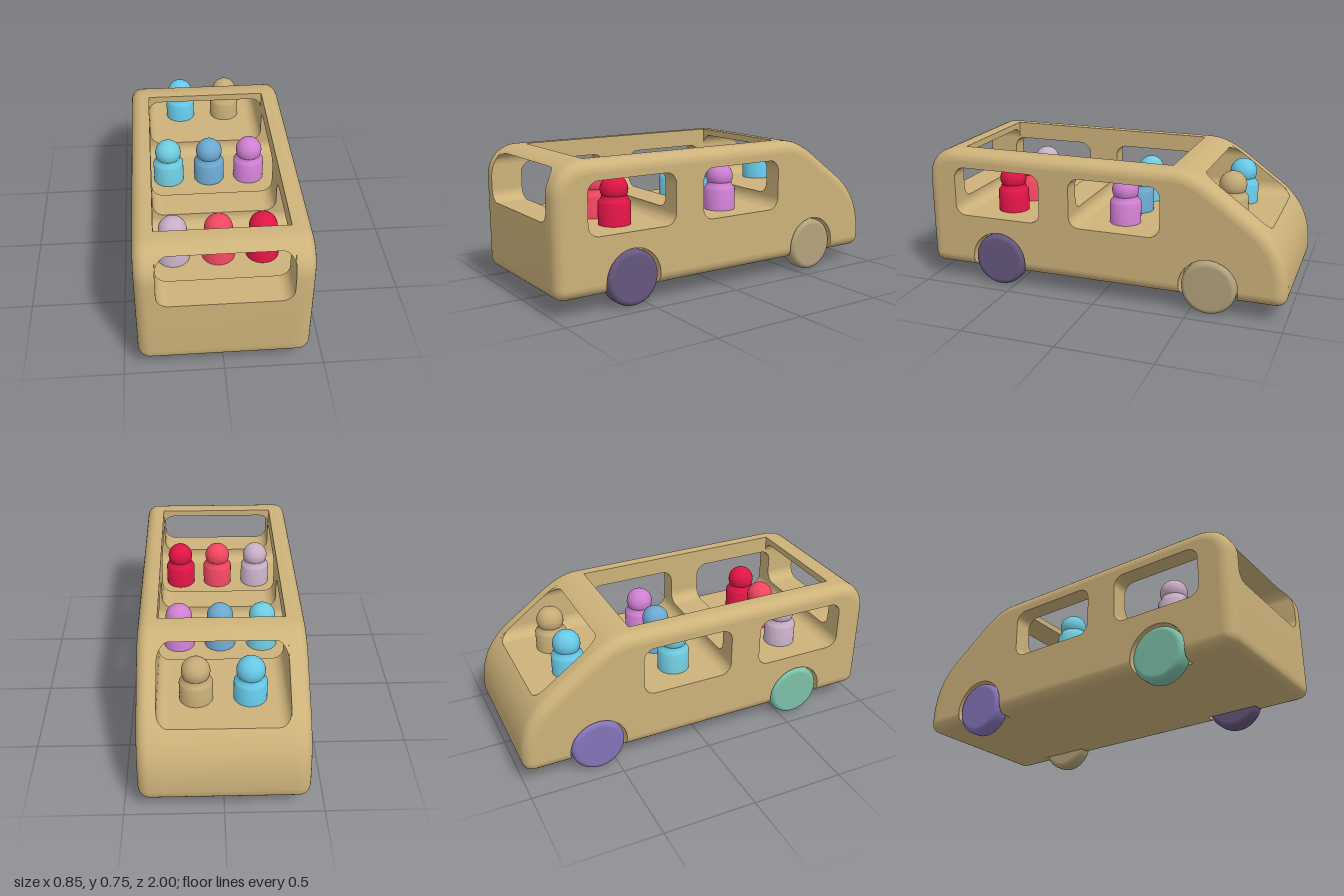
import * as THREE from 'three';
import { toCreasedNormals } from 'three/addons/utils/BufferGeometryUtils.js';

const BOTTOM = 0.085, HALF = 0.425, INNER = 0.325, ROUND = 0.06;
const SILL = 0.457, HEAD = 0.715;            // lengthwise opening, bottom and top
const PIT = 0.385, WINDOW_TOP = 0.655;       // side windows and seat wells
const WINDOWS = [[-0.34, 0.16], [0.33, 0.83]];
const AXLES = [0.58, -0.6], ARCH = 0.156;
const WOOD = 0xcdb27a;

const V2 = (x, y) => new THREE.Vector2(x, y);
const material = color => new THREE.MeshStandardMaterial({ color, side: THREE.DoubleSide });

function add(parent, name, geometry, mat) {
  const mesh = new THREE.Mesh(geometry, mat);
  mesh.name = name;
  parent.add(mesh);
  return mesh;
}

// Side outline from the front bumper over the roof to the rear (u = z, v = y)
function outline() {
  const p = new THREE.Path();
  p.moveTo(-0.935, BOTTOM);
  p.quadraticCurveTo(-1, BOTTOM, -1, 0.15);
  p.bezierCurveTo(-1, 0.31, -0.95, 0.42, -0.825, 0.515);
  p.lineTo(-0.66, 0.635);
  p.bezierCurveTo(-0.56, 0.71, -0.49, 0.75, -0.4, 0.75);
  p.lineTo(0.83, 0.75);
  p.bezierCurveTo(0.93, 0.75, 1, 0.68, 1, 0.58);
  p.lineTo(1, 0.15);
  p.quadraticCurveTo(1, BOTTOM, 0.935, BOTTOM);
  return p.getPoints(12);
}
const UPPER = outline();

// Position along the body where the outline crosses a height
function edge(y, rear) {
  let hit = 0;
  for (let i = 1; i < UPPER.length; i++) {
    const a = UPPER[i - 1], b = UPPER[i];
    if (a.y === b.y || (a.y - y) * (b.y - y) > 0) continue;
    hit = a.x + (b.x - a.x) * (y - a.y) / (b.y - a.y);
    if (!rear) return hit;
  }
  return hit;
}
const frontEdge = y => edge(y, false), rearEdge = y => edge(y, true);

// Wall contour inset by d, with wheel arches that keep their radius
function contour(d) {
  const last = UPPER.length - 1, y0 = BOTTOM + d;
  const pts = UPPER.map((p, i) => {
    const t = V2(0, 0);
    if (i > 0) t.add(p.clone().sub(UPPER[i - 1]).normalize());
    if (i < last) t.add(UPPER[i + 1].clone().sub(p).normalize());
    t.normalize();
    return V2(p.x + t.y * d, i === 0 || i === last ? y0 : p.y - t.x * d);
  });
  for (const c of AXLES) {
    const a0 = Math.asin((y0 - 0.145) / ARCH);
    for (let i = 0; i <= 20; i++) {
      const a = a0 + (Math.PI - 2 * a0) * i / 20;
      pts.push(V2(c + ARCH * Math.cos(a), 0.145 + ARCH * Math.sin(a)));
    }
  }
  return pts;
}

function windowPoints([a, b]) {
  const r = 0.06, s = new THREE.Path();
  s.moveTo(a + r, PIT);
  s.lineTo(b - r, PIT);
  s.absarc(b - r, PIT + r, r, -Math.PI / 2, 0);
  s.absarc(b - r, WINDOW_TOP - r, r, 0, Math.PI / 2);
  s.absarc(a + r, WINDOW_TOP - r, r, Math.PI / 2, Math.PI);
  s.absarc(a + r, PIT + r, r, Math.PI, Math.PI * 1.5);
  return s.getPoints(8);
}

// Skin between closed rings given as { pts, w }
function loft(rings) {
  const n = rings[0].pts.length, pos = [], idx = [];
  rings.forEach(({ pts, w }) => pts.forEach(p => pos.push(p.x, p.y, w)));
  for (let k = 0; k < rings.length - 1; k++)
    for (let i = 0; i < n; i++) {
      const j = (i + 1) % n, a = k * n;
      idx.push(a + i, a + j, a + n + i, a + j, a + n + j, a + n + i);
    }
  const g = new THREE.BufferGeometry();
  g.setAttribute('position', new THREE.Float32BufferAttribute(pos, 3));
  g.setIndex(idx);
  return toCreasedNormals(g, 0.6);
}

function panel(pts, w) {
  const s = new THREE.Shape(pts);
  s.holes = WINDOWS.map(h => new THREE.Path(windowPoints(h)));
  return new THREE.ShapeGeometry(s).translate(0, 0, w);
}

function sideWall(side, mat) {
  const wall = new THREE.Group();
  wall.name = side < 0 ? 'leftWall' : 'rightWall';
  const rings = [{ pts: contour(0), w: side * INNER }];
  for (let i = 0; i <= 7; i++) {
    const a = i / 7 * Math.PI / 2;
    rings.push({ pts: contour(ROUND * (1 - Math.cos(a))), w: side * (HALF - ROUND + ROUND * Math.sin(a)) });
  }
  add(wall, 'roundedRim', loft(rings), mat);
  add(wall, 'outerPanel', panel(contour(ROUND), side * HALF), mat);
  add(wall, 'innerPanel', panel(contour(0), side * INNER), mat);
  for (const h of WINDOWS) {
    const pts = windowPoints(h);
    add(wall, 'windowReveal', loft([{ pts, w: side * INNER }, { pts, w: side * HALF }]), mat);
  }
  return wall;
}

// Block spanning the space between the walls
function across(pts) {
  const g = new THREE.ExtrudeGeometry(new THREE.Shape(pts), { depth: 2 * INNER, bevelEnabled: false });
  return toCreasedNormals(g.translate(0, 0, -INNER), 0.6);
}

function floorPoints() {
  const low = UPPER.filter(p => p.y < SILL);
  const s = new THREE.Path([...low.filter(p => p.x < 0), V2(frontEdge(SILL), SILL)]);
  s.currentPoint.set(frontEdge(SILL), SILL);
  for (const [a, b] of WINDOWS) {
    s.lineTo(a, SILL);
    s.lineTo(a, PIT + 0.06);
    s.absarc(a + 0.06, PIT + 0.06, 0.06, Math.PI, Math.PI * 1.5);
    s.lineTo(b - 0.06, PIT);
    s.absarc(b - 0.06, PIT + 0.06, 0.06, -Math.PI / 2, 0);
    s.lineTo(b, SILL);
  }
  s.lineTo(1, SILL);
  return [...s.getPoints(8), ...low.filter(p => p.x > 0)];
}

// Concave corner strip of the lengthwise opening, from z0(y) to z1(y)
function cornerStrip(side, y, up, z0, z1) {
  const r = 0.06, x = side * INNER;
  const s = new THREE.Shape();
  s.moveTo(x, y);
  s.lineTo(x - side * r, y);
  s.bezierCurveTo(x - side * r * 0.45, y, x, y + up * r * 0.45, x, y + up * r);
  s.closePath();
  const g = new THREE.ExtrudeGeometry(s, { depth: 1, bevelEnabled: false, curveSegments: 8 });
  const p = g.attributes.position;
  for (let i = 0; i < p.count; i++) p.setZ(i, p.getZ(i) < 0.5 ? z0(p.getY(i)) : z1(p.getY(i)));
  g.computeVertexNormals();
  return toCreasedNormals(g, 0.6);
}

function pegFigure(color, x, z, lift) {
  const mat = material(color), peg = new THREE.Group();
  peg.name = 'pegFigure';
  const profile = [[0, 0.3], [0.084, 0.3], [0.084, 0.498], [0.08, 0.506], [0.073, 0.514], [0.067, 0.525], [0.064, 0.54], [0.06, 0.57]];
  add(peg, 'pegBody', toCreasedNormals(new THREE.LatheGeometry(profile.map(p => V2(...p)), 40), 0.7), mat);
  add(peg, 'pegHead', new THREE.SphereGeometry(0.072, 36, 24), mat).position.y = 0.565;
  peg.position.set(x, lift, z);
  return peg;
}

function wheel(color, side, z) {
  const r = 0.145, h = 0.05, b = 0.028, pts = [V2(0, -h)];
  for (const s of [-1, 1])
    for (let i = 0; i <= 6; i++) {
      const a = s < 0 ? -Math.PI / 2 + i / 6 * Math.PI / 2 : i / 6 * Math.PI / 2;
      pts.push(V2(r - b + b * Math.cos(a), s * (h - b) + b * Math.sin(a)));
    }
  pts.push(V2(0, h));
  const g = new THREE.LatheGeometry(pts, 56).rotateZ(Math.PI / 2);
  const m = new THREE.Mesh(g, material(color));
  m.name = 'wheel';
  m.position.set(side * 0.377, r, z);
  return m;
}

export function createModel() {
  const model = new THREE.Group(), wood = material(WOOD);
  model.name = 'toyVan';

  // Body, drawn in side profile and turned to face along z
  const body = new THREE.Group();
  body.name = 'body';
  body.rotation.y = -Math.PI / 2;
  for (const side of [-1, 1]) body.add(sideWall(side, wood));
  add(body, 'floorBlock', across(floorPoints()), wood);
  const high = UPPER.filter(p => p.y > HEAD);
  add(body, 'frontRoofBeam', across([V2(frontEdge(HEAD), HEAD), ...high.filter(p => p.x < -0.38), V2(-0.38, 0.75), V2(-0.38, HEAD)]), wood);
  add(body, 'rearRoofBeam', across([V2(0.8, HEAD), V2(0.8, 0.75), ...high.filter(p => p.x > 0.8), V2(rearEdge(HEAD), HEAD)]), wood);
  model.add(body);

  // Rounded inside corners
  const at = z => () => z;
  for (const side of [-1, 1]) {
    for (const [z0, z1] of [[frontEdge, at(-0.34)], [at(0.16), at(0.33)], [at(0.83), rearEdge]])
      add(model, 'sillCorner', cornerStrip(side, SILL, 1, z0, z1), wood);
    for (const [z0, z1] of [[frontEdge, at(-0.38)], [at(0.8), rearEdge]])
      add(model, 'roofCorner', cornerStrip(side, HEAD, -1, z0, z1), wood);
  }

  // Passengers: colour, x, z, height above the seat wells
  const pegs = [
    [0xc8afc6, -0.23, 0.575, 0], [0xf04660, 0, 0.575, 0], [0xe01545, 0.225, 0.575, 0],
    [0x6fcbdf, -0.23, -0.09, 0], [0x6ba8cf, 0, -0.09, 0], [0xd07fd2, 0.225, -0.09, 0],
    [0x66c8e8, -0.137, -0.65, 0.058], [0xc4aa76, 0.133, -0.65, 0.058],
  ];
  for (const p of pegs) model.add(pegFigure(...p));

  // Wheels
  model.add(wheel(0x65567d, 1, AXLES[0]), wheel(0xb3a27c, 1, AXLES[1]));
  model.add(wheel(0x7cc0a8, -1, AXLES[0]), wheel(0x8473b8, -1, AXLES[1]));
  return model;
}
